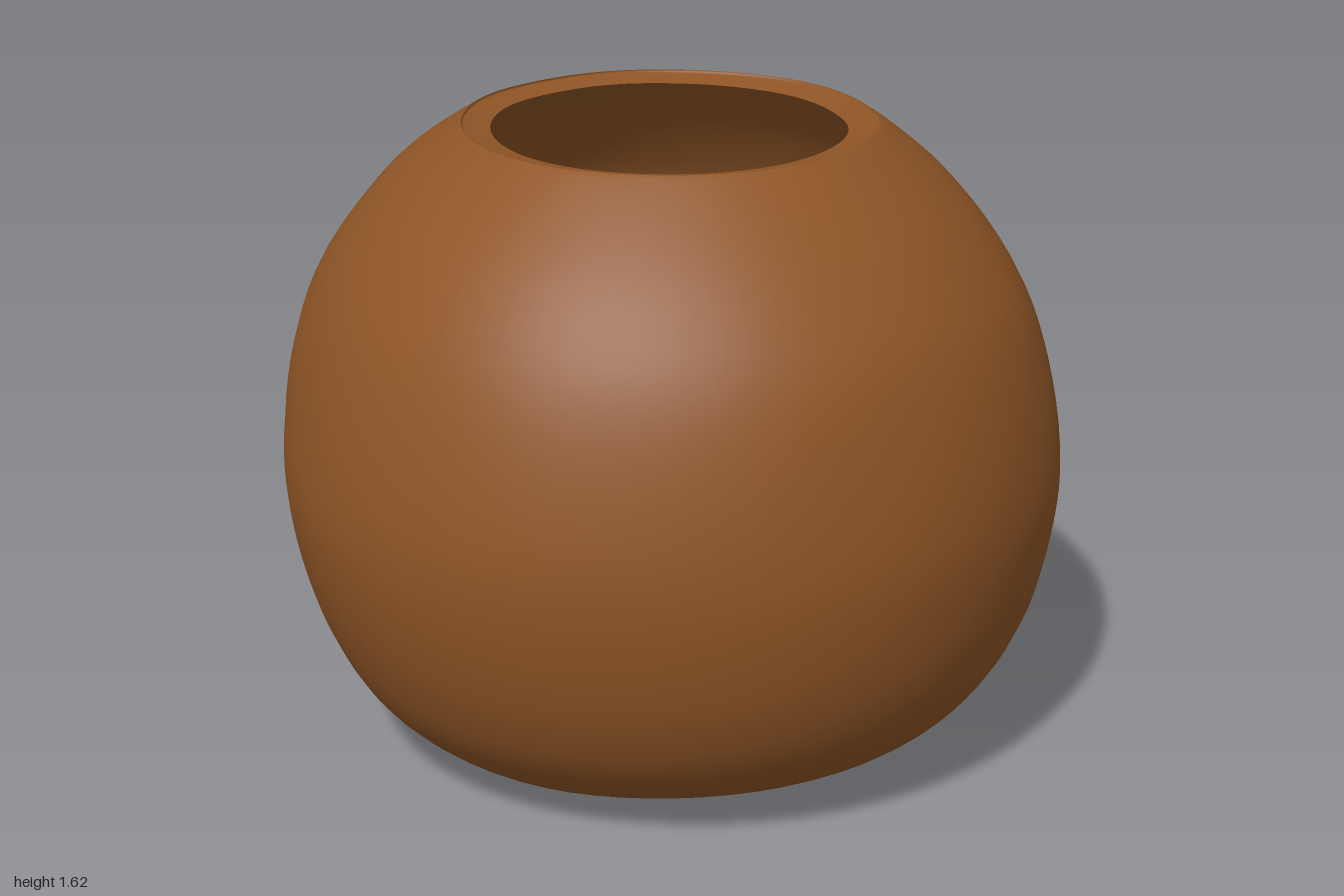
import * as THREE from 'three';

const SEGMENTS = 64;

// Profile rows: height, then radius towards +x, +z, -x, -z
const OUTER = [
  [0.0, 0, 0, 0, 0],
  [0.0, 0.25, 0.25, 0.25, 0.25],
  [0.005, 0.45, 0.44, 0.46, 0.44],
  [0.03, 0.59, 0.58, 0.61, 0.54],
  [0.11, 0.74, 0.75, 0.74, 0.69],
  [0.23, 0.85, 0.87, 0.85, 0.82],
  [0.4, 0.935, 0.95, 0.93, 0.92],
  [0.6, 0.98, 0.99, 0.98, 0.97],
  [0.78, 0.99, 0.995, 0.99, 0.99],
  [1.0, 0.95, 0.96, 0.95, 0.985],
  [1.2, 0.88, 0.895, 0.88, 0.925],
  [1.37, 0.78, 0.785, 0.775, 0.805],
  [1.5, 0.67, 0.665, 0.655, 0.68],
  [1.607, 0.535, 0.54, 0.53, 0.515],
];

// Flat lip, dipping slightly towards the opening
const LIP = [
  [1.607, 0.515, 0.52, 0.51, 0.5],
  [1.595, 0.444, 0.448, 0.44, 0.437],
];

// The cavity repeats the outside at a smaller size, hung from the lip
const CAVITY_SCALE = 0.83;
const INNER = [
  LIP[1],
  ...OUTER.slice(0, -1).reverse().map(([y, ...radii]) => [
    1.595 - (1.607 - y) * CAVITY_SCALE,
    ...radii.map((r) => r * CAVITY_SCALE),
  ]),
];

// Uneven roundness every 22.5 degrees, from +x towards +z
const LUMPS = [1, 1.005, 1.025, 1.01, 1, 0.99, 0.985, 0.997,
  1, 0.99, 0.995, 1.012, 1, 1, 0.977, 0.977];

function lump(angle) {
  const t = (angle / (Math.PI * 2)) * LUMPS.length;
  const i = Math.floor(t);
  const at = (k) => LUMPS[(k + LUMPS.length) % LUMPS.length];
  const f = t - i;
  const [a, b, c, d] = [at(i - 1), at(i), at(i + 1), at(i + 2)];
  return b + 0.5 * f * (c - a + f * (2 * a - 5 * b + 4 * c - d + f * (3 * (b - c) + d - a)));
}

// Skin a ring surface through the profile rows
function loft(rows) {
  const steps = (rows.length - 1) * 4;
  const positions = [];
  const index = [];
  for (let j = 0; j < SEGMENTS; j++) {
    const angle = (j / SEGMENTS) * Math.PI * 2;
    const c = Math.cos(angle);
    const s = Math.sin(angle);
    const bump = lump(angle);
    const profile = new THREE.SplineCurve(rows.map(([y, px, pz, nx, nz]) => {
      const r = c * c * (c > 0 ? px : nx) + s * s * (s > 0 ? pz : nz);
      return new THREE.Vector2(r * bump, y);
    }));
    for (const p of profile.getPoints(steps)) {
      const x = p.x * c;
      const z = p.x * s;
      // The opening leans slightly towards the front
      const lean = THREE.MathUtils.smoothstep(p.y, 1.2, 1.6) * (0.01 * x - 0.014 * z);
      positions.push(x, Math.max(0, p.y + lean), z);
    }
    const next = (j + 1) % SEGMENTS;
    for (let i = 0; i < steps; i++) {
      const a = j * (steps + 1) + i;
      const b = next * (steps + 1) + i;
      index.push(a, a + 1, b, b, a + 1, b + 1);
    }
  }
  const geometry = new THREE.BufferGeometry();
  geometry.setAttribute('position', new THREE.Float32BufferAttribute(positions, 3));
  geometry.setIndex(index);
  geometry.computeVertexNormals();
  return geometry;
}

export function createModel() {
  const brown = new THREE.MeshStandardMaterial({ color: 0x8f5526 });
  brown.name = 'shellBrown';
  const model = new THREE.Group();
  model.name = 'hollowShell';

  const parts = [
    ['outerShellAndLip', [...OUTER, ...LIP]],
    ['innerShell', INNER],
  ];
  for (const [name, rows] of parts) {
    const mesh = new THREE.Mesh(loft(rows), brown);
    mesh.name = name;
    model.add(mesh);
  }
  return model;
}
